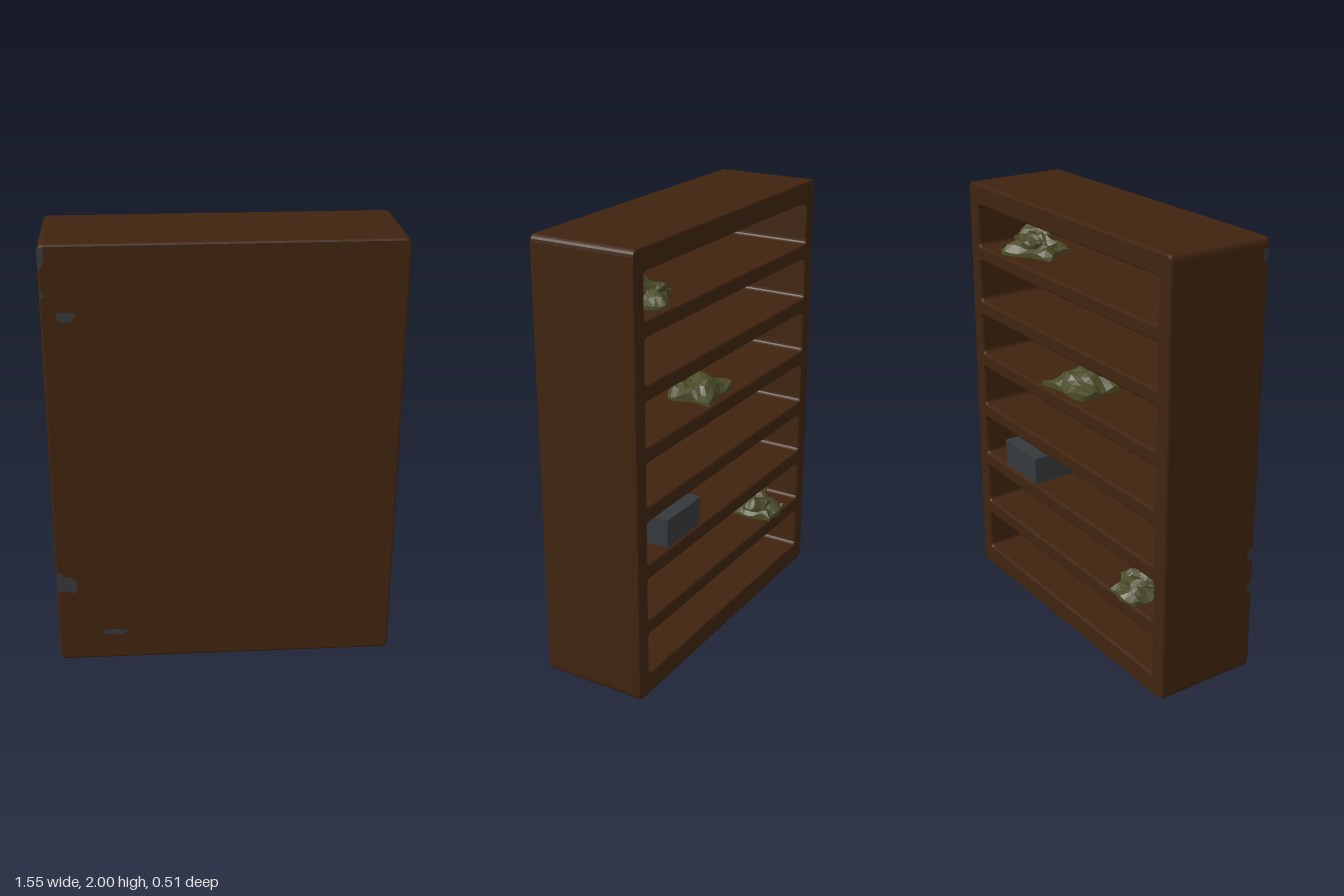
import * as THREE from 'three';

const mat = (name, color, opts = {}) => {
  const m = new THREE.MeshStandardMaterial({ color, ...opts });
  m.name = name;
  return m;
};

// Rounded rectangle traced onto a Shape or Path
function roundRect(p, x0, y0, x1, y1, r) {
  p.moveTo(x0 + r, y0);
  p.lineTo(x1 - r, y0); p.quadraticCurveTo(x1, y0, x1, y0 + r);
  p.lineTo(x1, y1 - r); p.quadraticCurveTo(x1, y1, x1 - r, y1);
  p.lineTo(x0 + r, y1); p.quadraticCurveTo(x0, y1, x0, y1 - r);
  p.lineTo(x0, y0 + r); p.quadraticCurveTo(x0, y0, x0 + r, y0);
  return p;
}

// Extrusion between z0 and z1 with a small bevel that keeps the outline size
function slab(shape, z0, z1, bevel) {
  const g = new THREE.ExtrudeGeometry(shape, {
    depth: z1 - z0 - 2 * bevel, bevelEnabled: true, bevelSize: bevel, bevelThickness: bevel,
    bevelOffset: -bevel, bevelSegments: 2, curveSegments: 4,
  });
  return g.translate(0, 0, z0 + bevel);
}

// Soft creased pouch: thick in the middle, thin and wavy at the rim
function pouchGeometry(w, d, h, phase) {
  const g = new THREE.BoxGeometry(2, 1, 2, 8, 2, 8);
  const p = g.attributes.position;
  for (let i = 0; i < p.count; i++) {
    const u = p.getX(i), t = p.getY(i) + 0.5, v = p.getZ(i);
    const rim = Math.max(Math.abs(u), Math.abs(v));
    const crease = 0.12 * Math.sin(5 * u + 3 * v + phase) + 0.1 * Math.sin(6 * v - 4 * u + 2 * phase);
    const thick = 0.25 + 0.65 * (1 - rim * rim) + crease;
    const pull = 1 - 0.08 * (1 + Math.sin(4 * u * v + phase)) * rim;
    p.setXYZ(i, u * w / 2 * pull, Math.max(0, t * thick) * h, v * d / 2 * pull);
  }
  g.computeVertexNormals();
  return g;
}

export function createModel() {
  const root = new THREE.Group();
  root.name = 'cabinet';
  const wood = mat('dark wood', 0x40240f);
  const olive = mat('olive cloth', 0x4a4a28, { flatShading: true });
  const grey = mat('dark grey', 0x36393c);

  const add = (parent, name, geo, material, x = 0, y = 0, z = 0, ry = 0) => {
    const m = new THREE.Mesh(geo, material);
    m.name = name;
    m.position.set(x, y, z);
    m.rotation.y = ry;
    parent.add(m);
    return m;
  };

  // Seven open compartments cut into the carcass, open toward -z
  const W = 0.775, rows = 7, pitch = 0.267, open = 0.198;
  const floor = i => 0.1 + i * pitch;
  const frame = roundRect(new THREE.Shape(), -W, 0, W, 2, 0.03);
  for (let i = 0; i < rows; i++)
    frame.holes.push(roundRect(new THREE.Path(), -0.7, floor(i), 0.7, floor(i) + open, 0.02));
  add(root, 'shelfFrame', slab(frame, -0.235, 0.235, 0.01), wood);
  add(root, 'closedPanel', slab(roundRect(new THREE.Shape(), -W, 0, W, 2, 0.03), 0.205, 0.255, 0.01), wood);

  // Storage box with a slightly wider lid
  const box = new THREE.Group();
  box.name = 'storageBox';
  box.position.set(0.392, floor(2), -0.105);
  add(box, 'boxBody', new THREE.BoxGeometry(0.268, 0.1, 0.234), grey, 0, 0.05, 0);
  add(box, 'boxLid', new THREE.BoxGeometry(0.276, 0.034, 0.24), grey, 0, 0.115, 0);
  root.add(box);

  // Folded cloth bundles: [row, x, z, layers of [w, d, h, dx, dy, dz, turn]]
  const bundles = [
    [6, 0.46, -0.07, [[0.28, 0.22, 0.07, 0, 0, 0, 0.5], [0.22, 0.15, 0.06, 0.02, 0.04, 0.01, -0.3],
      [0.17, 0.1, 0.05, 0.03, 0.08, 0.03, 0.7]]],
    [4, 0.05, -0.1, [[0.29, 0.22, 0.085, 0, 0, 0, 0.1]]],
    [1, -0.47, -0.13, [[0.2, 0.24, 0.07, 0, 0, 0, 0.06], [0.17, 0.18, 0.06, 0.01, 0.04, 0.02, -0.25],
      [0.13, 0.12, 0.04, -0.02, 0.08, 0.03, 0.4]]],
  ];
  bundles.forEach(([row, x, z, layers], b) => {
    const g = new THREE.Group();
    g.name = 'clothBundle' + (b + 1);
    g.position.set(x, floor(row), z);
    layers.forEach(([w, d, h, dx, dy, dz, turn], i) =>
      add(g, 'clothLayer', pouchGeometry(w, d, h, b * 2 + i * 1.7 + 0.6), olive, dx, dy, dz, turn));
    root.add(g);
  });

  // Worn grey patches on the closed face
  const patches = [
    [[-0.773, 1.89], [-0.76, 1.9], [-0.746, 1.94], [-0.748, 1.985], [-0.765, 1.99], [-0.773, 1.98]],
    [[-0.773, 1.77], [-0.755, 1.78], [-0.755, 1.795], [-0.773, 1.8]],
    [[-0.71, 1.685], [-0.685, 1.665], [-0.65, 1.665], [-0.625, 1.705], [-0.67, 1.71], [-0.71, 1.705]],
    [[-0.773, 0.37], [-0.72, 0.37], [-0.7, 0.355], [-0.68, 0.375], [-0.68, 0.41], [-0.705, 0.44],
      [-0.74, 0.445], [-0.76, 0.47], [-0.773, 0.465]],
    [[-0.575, 0.14], [-0.54, 0.128], [-0.48, 0.128], [-0.45, 0.15], [-0.5, 0.157], [-0.555, 0.155]],
  ];
  patches.forEach(pts => {
    const s = new THREE.Shape(pts.map(p => new THREE.Vector2(...p)));
    add(root, 'wornPatch', new THREE.ShapeGeometry(s), grey, 0, 0, 0.2565);
  });

  // Matching worn spots on the adjoining side edge
  for (const [y, r] of [[0.41, 0.03], [0.58, 0.035], [1.93, 0.03]]) {
    const spot = add(root, 'sideWornSpot', new THREE.CircleGeometry(r, 9), grey, -W - 0.0015, y, 0.235, -Math.PI / 2);
    spot.scale.x = 0.5;
  }
  return root;
}
